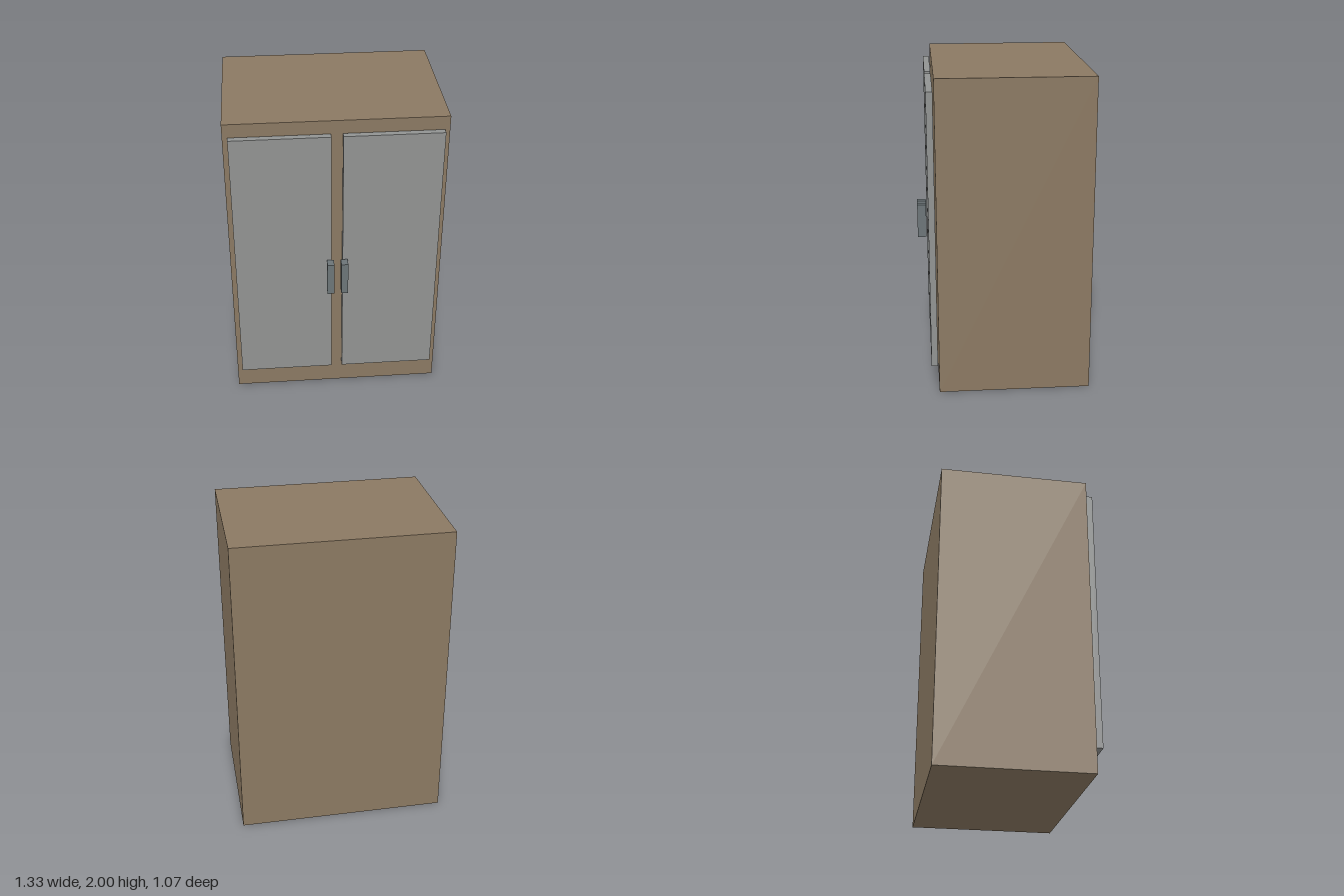
import * as THREE from 'three';

const wood = new THREE.MeshStandardMaterial({ color: 0x8b7962 });
const panel = new THREE.MeshStandardMaterial({ color: 0x919392 });
const metal = new THREE.MeshStandardMaterial({ color: 0x6c7578 });

// Box given by its extents along each axis
function box(name, material, [x0, x1], [y0, y1], [z0, z1]) {
  const mesh = new THREE.Mesh(new THREE.BoxGeometry(x1 - x0, y1 - y0, z1 - z0), material);
  mesh.position.set((x0 + x1) / 2, (y0 + y1) / 2, (z0 + z1) / 2);
  mesh.name = name;
  return mesh;
}

export function createModel() {
  const cabinet = new THREE.Group();
  cabinet.name = 'cabinet';

  // Solid cabinet body
  cabinet.add(box('body', wood, [-0.667, 0.667], [0, 2], [-0.533, 0.42]));

  // Mirrored pair of doors, each with a handle near the centre line
  for (const [side, s] of [['left', 1], ['right', -1]]) {
    const span = (a, b) => (s > 0 ? [a, b] : [-b, -a]);
    cabinet.add(
      box(`${side}Door`, panel, span(0.035, 0.635), [0.168, 1.918], [0.427, 0.467]),
      box(`${side}Handle`, metal, span(0.022, 0.065), [0.83, 1.052], [0.475, 0.533])
    );
  }
  return cabinet;
}
